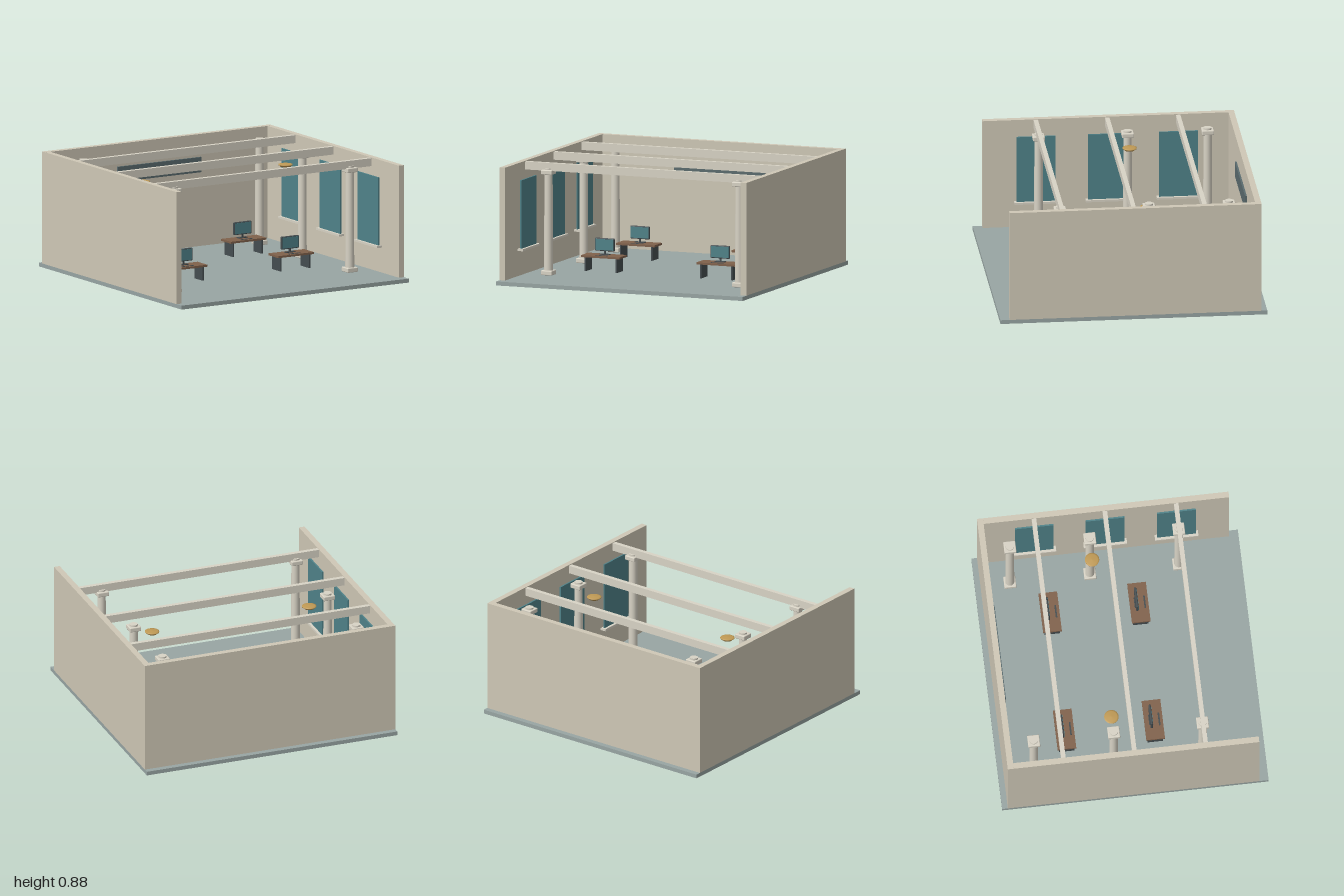
import * as THREE from 'three';
import { RoundedBoxGeometry } from 'three/addons/geometries/RoundedBoxGeometry.js';

const mat = (color) => new THREE.MeshStandardMaterial({ color });
const wallMat = mat(0xcfc8b6), floorMat = mat(0x98a5a3), trimMat = mat(0xd8d3c5);
const glassMat = mat(0x4f8289), boardMat = mat(0x5a6b6e), woodMat = mat(0x80614b);
const darkMat = mat(0x454d50), brassMat = mat(0xc09a55);

function add(parent, name, geometry, material, x, y, z) {
  const mesh = new THREE.Mesh(geometry, material);
  mesh.name = name;
  mesh.position.set(x, y, z);
  parent.add(mesh);
  return mesh;
}

// Box given by its size and the centre of its underside
function box(parent, name, material, w, h, d, x, y, z) {
  return add(parent, name, new THREE.BoxGeometry(w, h, d), material, x, y + h / 2, z);
}

function group(parent, name, x, y, z) {
  const g = new THREE.Group();
  g.name = name;
  g.position.set(x, y, z);
  parent.add(g);
  return g;
}

// Round shaft between square base and capital
function column(parent, x, z) {
  const g = group(parent, 'column', x, 0.03, z);
  add(g, 'shaft', new THREE.CylinderGeometry(0.031, 0.034, 0.805, 24), trimMat, 0, 0.4025, 0);
  const block = new RoundedBoxGeometry(0.09, 0.035, 0.09, 2, 0.006);
  add(g, 'base', block, trimMat, 0, 0.0175, 0);
  add(g, 'capital', block, trimMat, 0, 0.775, 0);
}

// Glass pane over a projecting sill; side is +1 or -1
function wallWindow(parent, side, z) {
  const g = group(parent, 'window', side * 0.955, 0.22, z);
  box(g, 'sill', trimMat, 0.044, 0.016, 0.325, -side * 0.022, 0, 0);
  box(g, 'glass', glassMat, 0.012, 0.515, 0.29, -side * 0.018, 0.016, 0);
}

function workstation(parent, x, z) {
  const g = group(parent, 'desk', x, 0.03, z);
  box(g, 'deskTop', woodMat, 0.313, 0.015, 0.14, 0, 0.105, 0);
  for (const s of [-1, 1]) box(g, 'deskLeg', darkMat, 0.012, 0.105, 0.115, s * 0.126, 0, 0);
  // Monitor on its stand, with keyboard in front
  const m = group(g, 'monitor', 0, 0.12, -0.02);
  box(m, 'standFoot', darkMat, 0.08, 0.006, 0.03, 0, 0, 0);
  box(m, 'standPost', darkMat, 0.012, 0.03, 0.01, 0, 0.004, 0);
  add(m, 'monitorCase', new RoundedBoxGeometry(0.155, 0.097, 0.018, 2, 0.006), darkMat, 0, 0.076, 0);
  box(m, 'screen', glassMat, 0.143, 0.083, 0.004, 0, 0.0345, 0.009);
  box(g, 'keyboard', darkMat, 0.1, 0.004, 0.012, 0, 0.119, 0.043);
}

// Shallow round lamp with a domed top
function lamp(parent, x, z) {
  const profile = [[0, 0], [0.038, 0], [0.044, 0.008], [0.053, 0.012], [0.054, 0.018], [0.042, 0.021], [0, 0.024]];
  const geometry = new THREE.LatheGeometry(profile.map(([r, y]) => new THREE.Vector2(r, y)), 28);
  add(parent, 'lamp', geometry, brassMat, x, 0.733, z);
}

export function createModel() {
  const room = new THREE.Group();
  room.name = 'room';

  // Shell
  box(room, 'floor', floorMat, 2, 0.03, 2, 0, 0, 0);
  box(room, 'backWall', wallMat, 2, 0.85, 0.045, 0, 0.03, -0.935);
  for (const s of [-1, 1]) box(room, 'sideWall', wallMat, 0.045, 0.85, 1.842, s * 0.9775, 0.03, 0.009);
  box(room, 'wallBoard', boardMat, 0.735, 0.115, 0.014, 0, 0.592, -0.906);

  // Ceiling beams and the windows in line with them
  for (const z of [-0.535, -0.003, 0.532]) {
    box(room, 'beam', trimMat, 1.91, 0.06, 0.034, 0, 0.815, z);
    for (const s of [-1, 1]) wallWindow(room, s, z);
  }

  // Mirrored furnishings
  for (const s of [-1, 1]) {
    for (const z of [-0.737, -0.137, 0.53]) column(room, s * 0.774, z);
    for (const z of [-0.47, 0.196]) workstation(room, s * 0.468, z);
    lamp(room, s * 0.627, -0.137);
  }
  return room;
}
